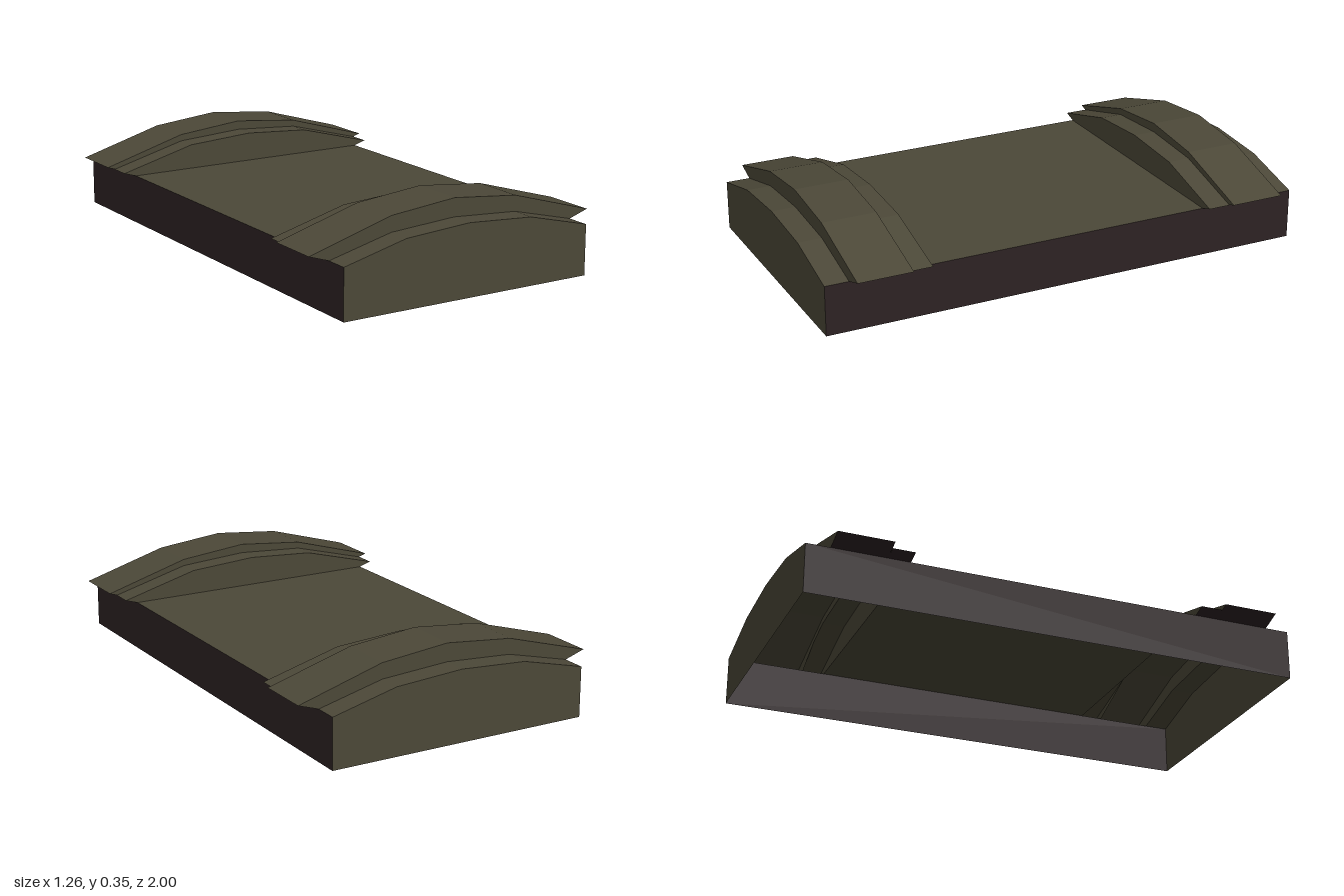
import * as THREE from 'three';

const olive = new THREE.MeshStandardMaterial({ color: 0x4c4838, side: THREE.DoubleSide, flatShading: true });
olive.name = 'olive';
const brown = new THREE.MeshStandardMaterial({ color: 0x2d2223, side: THREE.DoubleSide, flatShading: true });
brown.name = 'dark brown';

const HALF_WIDTH = 0.54, DECK = 0.2, END = 0.996;

// Right half of each arch: eave, shoulder, crown
const LOW = [[HALF_WIDTH, DECK], [0.277, 0.265], [0, 0.283]];
const HIGH = [[0.623, 0.227], [0.278, 0.327], [0, 0.355]];
const MID = [[0.592, 0.216], [0.278, 0.3], [0, 0.318]];

// Full outline from right eave to left eave
const arch = (half) => [...half, ...half.slice(0, -1).reverse().map(([x, y]) => [-x, y])];

function addMesh(parent, name, geometry, material) {
  const mesh = new THREE.Mesh(geometry, material);
  mesh.name = name;
  parent.add(mesh);
  return mesh;
}

// Sheet that carries an outline in x and y from z0 to z1
function strip(points, z0, z1) {
  const v = [];
  for (let i = 0; i + 1 < points.length; i++) {
    const [ax, ay] = points[i], [bx, by] = points[i + 1];
    v.push(ax, ay, z0, bx, by, z0, bx, by, z1);
    v.push(ax, ay, z0, bx, by, z1, ax, ay, z1);
  }
  const g = new THREE.BufferGeometry();
  g.setAttribute('position', new THREE.Float32BufferAttribute(v, 3));
  g.computeVertexNormals();
  return g;
}

// Flat upright face at depth z, facing front or back
function face(points, z, back) {
  const g = new THREE.ShapeGeometry(new THREE.Shape(points.map(([x, y]) => new THREE.Vector2(x, y))));
  if (back) g.rotateY(Math.PI);
  return g.translate(0, 0, z);
}

// Stepped, hollow arched end built at +z
function createArchedEnd() {
  const end = new THREE.Group();
  const low = arch(LOW), high = arch(HIGH), mid = arch(MID);
  const base = [[-HALF_WIDTH, DECK], [HALF_WIDTH, DECK]];

  addMesh(end, 'endWall', face([[-HALF_WIDTH, 0], [HALF_WIDTH, 0], ...low], END), olive);
  addMesh(end, 'lowRoof', strip(low, 0.9, END), olive);
  addMesh(end, 'outerStep', face([...high, ...[...low].reverse()], 0.9), olive);
  addMesh(end, 'highRoof', strip(high, 0.68, 0.9), olive);
  addMesh(end, 'innerStep', face([...high, base[0], ...[...mid].reverse(), base[1]], 0.68, true), olive);
  addMesh(end, 'middleRoof', strip(mid, 0.59, 0.68), olive);
  addMesh(end, 'innerWall', face([...base, ...mid], 0.59, true), olive);

  // Undersides of the overhanging eaves
  for (const s of [1, -1]) {
    for (const [half, z0, z1] of [[HIGH, 0.68, 0.9], [MID, 0.59, 0.68]]) {
      const edge = [[s * HALF_WIDTH, DECK], [s * half[0][0], half[0][1]]];
      addMesh(end, 'eaveUnderside', strip(s > 0 ? edge : edge.reverse(), z0, z1), brown);
    }
  }
  return end;
}

export function createModel() {
  const model = new THREE.Group();
  model.name = 'archedPlatform';

  // Deck between the arched ends, open underneath
  addMesh(model, 'deck', strip([[HALF_WIDTH, DECK], [-HALF_WIDTH, DECK]], -0.59, 0.59), olive);

  // Long side walls
  addMesh(model, 'leftSideWall', strip([[HALF_WIDTH, 0], [HALF_WIDTH, DECK]], -END, END), brown);
  addMesh(model, 'rightSideWall', strip([[-HALF_WIDTH, DECK], [-HALF_WIDTH, 0]], -END, END), brown);

  const front = createArchedEnd();
  front.name = 'frontEnd';
  const back = createArchedEnd();
  back.name = 'backEnd';
  back.rotation.y = Math.PI;
  model.add(front, back);

  // The whole body sits very slightly turned
  model.rotation.y = -0.006;
  return model;
}
